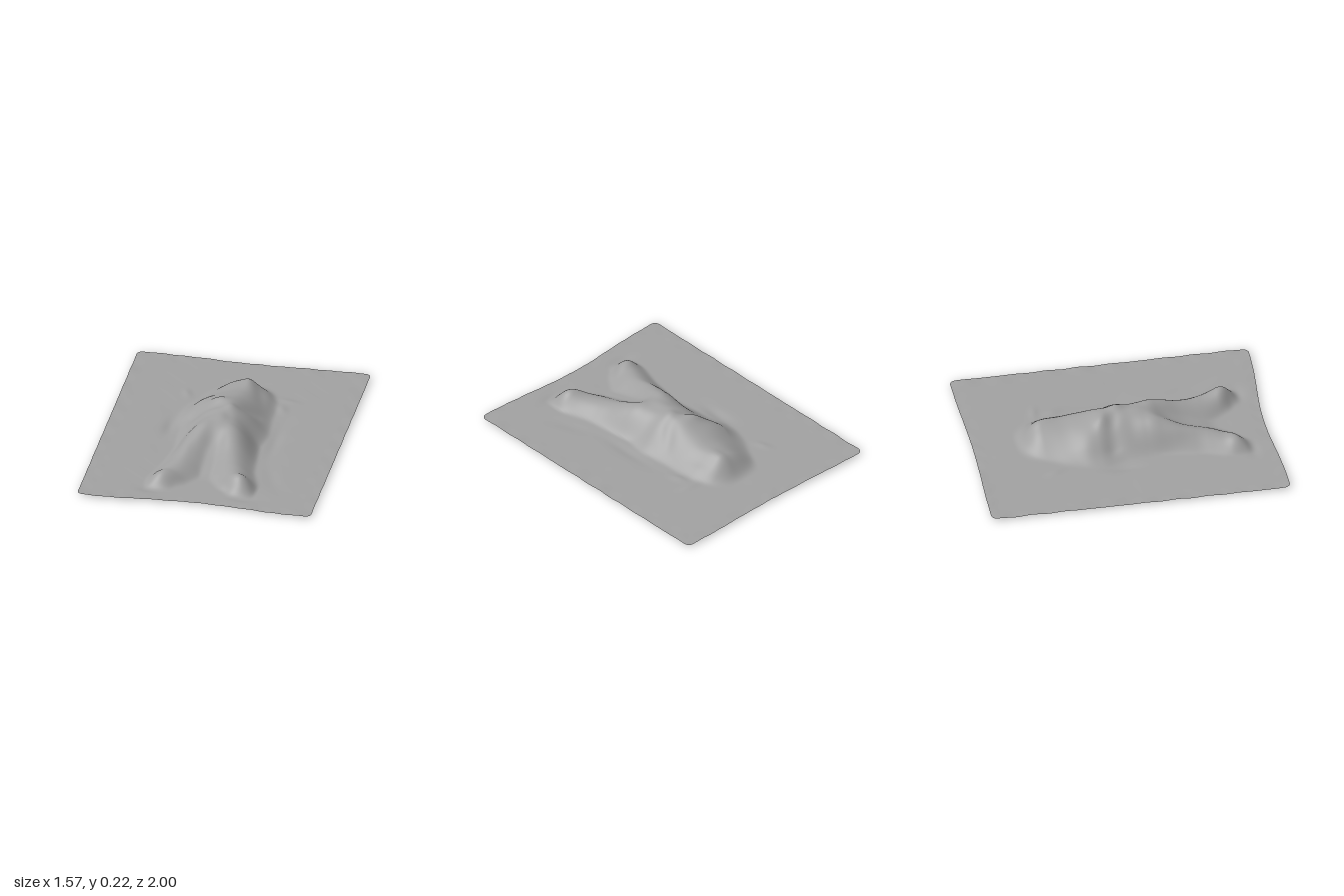
import * as THREE from 'three';

const HX = 0.785, HZ = 1, CORNER = 0.04, FLOOR = 0.021;

// Ridges under the cloth, as stations of [z, x, height, reach to -x, reach to +x]
const torso = [
  [-0.67, 0.03, 0, 0.15, 0.12], [-0.61, 0.03, 0.065, 0.21, 0.18],
  [-0.56, 0.04, 0.118, 0.25, 0.2], [-0.48, 0.05, 0.13, 0.3, 0.22],
  [-0.38, 0.04, 0.135, 0.35, 0.24], [-0.25, 0.02, 0.16, 0.37, 0.26],
  [-0.14, 0.0, 0.193, 0.35, 0.29], [-0.03, 0.02, 0.2, 0.33, 0.28],
  [0.1, 0.01, 0.185, 0.31, 0.27], [0.22, 0, 0.155, 0.29, 0.26],
  [0.32, 0, 0.1, 0.27, 0.25], [0.42, 0, 0.06, 0.26, 0.25],
  [0.52, 0, 0.03, 0.25, 0.24], [0.62, 0, 0, 0.24, 0.22],
];
const leftLeg = [
  [-0.05, 0.07, 0, 0.15, 0.18], [0.1, 0.08, 0.14, 0.15, 0.19],
  [0.2, 0.09, 0.172, 0.16, 0.19], [0.3, 0.11, 0.146, 0.16, 0.18],
  [0.4, 0.13, 0.108, 0.17, 0.17], [0.5, 0.155, 0.085, 0.18, 0.16],
  [0.6, 0.19, 0.076, 0.18, 0.16], [0.67, 0.23, 0.092, 0.17, 0.14],
  [0.72, 0.25, 0.118, 0.15, 0.12], [0.765, 0.265, 0.075, 0.11, 0.1],
  [0.83, 0.28, 0, 0.08, 0.08],
];
const rightLeg = leftLeg.map(([z, x, h, a, b]) =>
  [z, -x - (z > 0.3 ? 0.01 : 0), z > 0.62 ? h * 0.76 : h, b, a]);

// Folds and dents, as [x, z, height, length, width, angle]
const folds = [
  [-0.2, -0.26, 0.018, 0.12, 0.08, 0.15],
  [-0.22, -0.09, -0.024, 0.1, 0.06, 0.15],
  [0.14, -0.12, -0.014, 0.1, 0.045, -0.75],
  [-0.06, -0.06, -0.014, 0.08, 0.04, 0.4],
  [0.04, -0.03, 0.016, 0.05, 0.045, 0],
  [-0.07, -0.14, 0.015, 0.06, 0.04, 0.3],
  [0.06, -0.53, 0.014, 0.09, 0.04, 1.4],
  [0.15, -0.45, -0.01, 0.12, 0.04, 1.4],
  [0.0, 0.17, 0.012, 0.1, 0.05, 1.57],
  [-0.18, 0.38, 0.008, 0.16, 0.04, 1.5],
  [0.04, 0.07, -0.006, 0.07, 0.035, 1.2],
];
const ripples = [
  [-0.35, -0.5, 0.007, 0.06, 0.025, 1.2], [0.33, -0.52, 0.006, 0.07, 0.025, 0.2],
  [0.31, -0.4, 0.008, 0.06, 0.03, 1.2],
  [-0.37, -0.05, -0.012, 0.12, 0.04, 1.57], [0.35, 0.05, -0.008, 0.2, 0.04, 1.57],
  [-0.32, 0.83, -0.01, 0.08, 0.04, 0], [0.3, 0.84, -0.009, 0.08, 0.04, 0],
  [0.42, 0.5, -0.006, 0.15, 0.05, 1.2],
];

function station(rows, z) {
  const i = rows.findIndex((r) => r[0] >= z);
  if (i < 1) return null;
  const a = rows[i - 1], b = rows[i], t = (z - a[0]) / (b[0] - a[0]);
  return a.map((v, k) => v + (b[k] - v) * t);
}

function ridge(rows, x, z) {
  let sum = 0;
  // Averaging along z rounds off the joints between stations
  for (let k = -2; k <= 2; k++) {
    const s = station(rows, z + k * 0.014);
    if (!s) continue;
    const d = x - s[1], t = d / (d < 0 ? s[3] : s[4]);
    if (Math.abs(t) < 1) sum += s[2] * (1 - t * t) ** 1.6;
  }
  return sum / 5;
}

function bumps(list, x, z) {
  return list.reduce((sum, [cx, cz, h, l, w, a]) => {
    const dx = x - cx, dz = z - cz, c = Math.cos(a), s = Math.sin(a);
    const u = (dx * c + dz * s) / l, v = (dz * c - dx * s) / w;
    return sum + h * Math.exp(-u * u - v * v);
  }, 0);
}

function clothHeight(x, z) {
  const body = [torso, leftLeg, rightLeg]
    .reduce((sum, r) => sum + ridge(r, x, z) ** 5, 0) ** (1 / 5);
  // Uneven floor, with stronger flutter along the hems
  const hem = Math.max(THREE.MathUtils.smoothstep(Math.abs(x), HX - 0.12, HX),
    THREE.MathUtils.smoothstep(Math.abs(z), HZ - 0.12, HZ));
  const wave = 0.0012 * Math.sin(11 * x + 3 * Math.sin(5 * z)) * Math.sin(13 * z + 2 * Math.sin(7 * x))
    + 0.003 * hem * Math.sin(29 * z + 4 * Math.sin(6 * x)) * Math.cos(21 * x + 3 * z);
  return FLOOR + body + bumps(folds, x, z) * Math.min(1, body / 0.06)
    + bumps(ripples, x, z) + wave;
}

export function createModel() {
  const group = new THREE.Group();
  const geometry = new THREE.PlaneGeometry(2 * HX, 2 * HZ, 120, 154);
  geometry.rotateX(-Math.PI / 2);
  const p = geometry.attributes.position;

  for (let i = 0; i < p.count; i++) {
    let x = p.getX(i), z = p.getZ(i);
    // Rounded corners
    const dx = Math.abs(x) - (HX - CORNER), dz = Math.abs(z) - (HZ - CORNER);
    if (dx > 0 && dz > 0) {
      const k = Math.max(dx, dz) / Math.hypot(dx, dz);
      x = Math.sign(x) * (HX - CORNER + dx * k);
      z = Math.sign(z) * (HZ - CORNER + dz * k);
    }
    // Ends drawn in where the cloth is lifted
    const bow = Math.abs(x) < 0.7 ? (1 + Math.cos(Math.PI * x / 0.7)) / 2 : 0;
    const end = THREE.MathUtils.smoothstep(Math.abs(z), 0.8, 1);
    z -= bow * end * (z > 0 ? 0.04 : -0.016);
    p.setXYZ(i, x, clothHeight(x, z), z);
  }
  geometry.computeVertexNormals();

  const sheet = new THREE.Mesh(geometry,
    new THREE.MeshStandardMaterial({ color: 0xa0a0a0, side: THREE.DoubleSide }));
  sheet.name = 'drapedSheet';
  group.add(sheet);
  return group;
}
